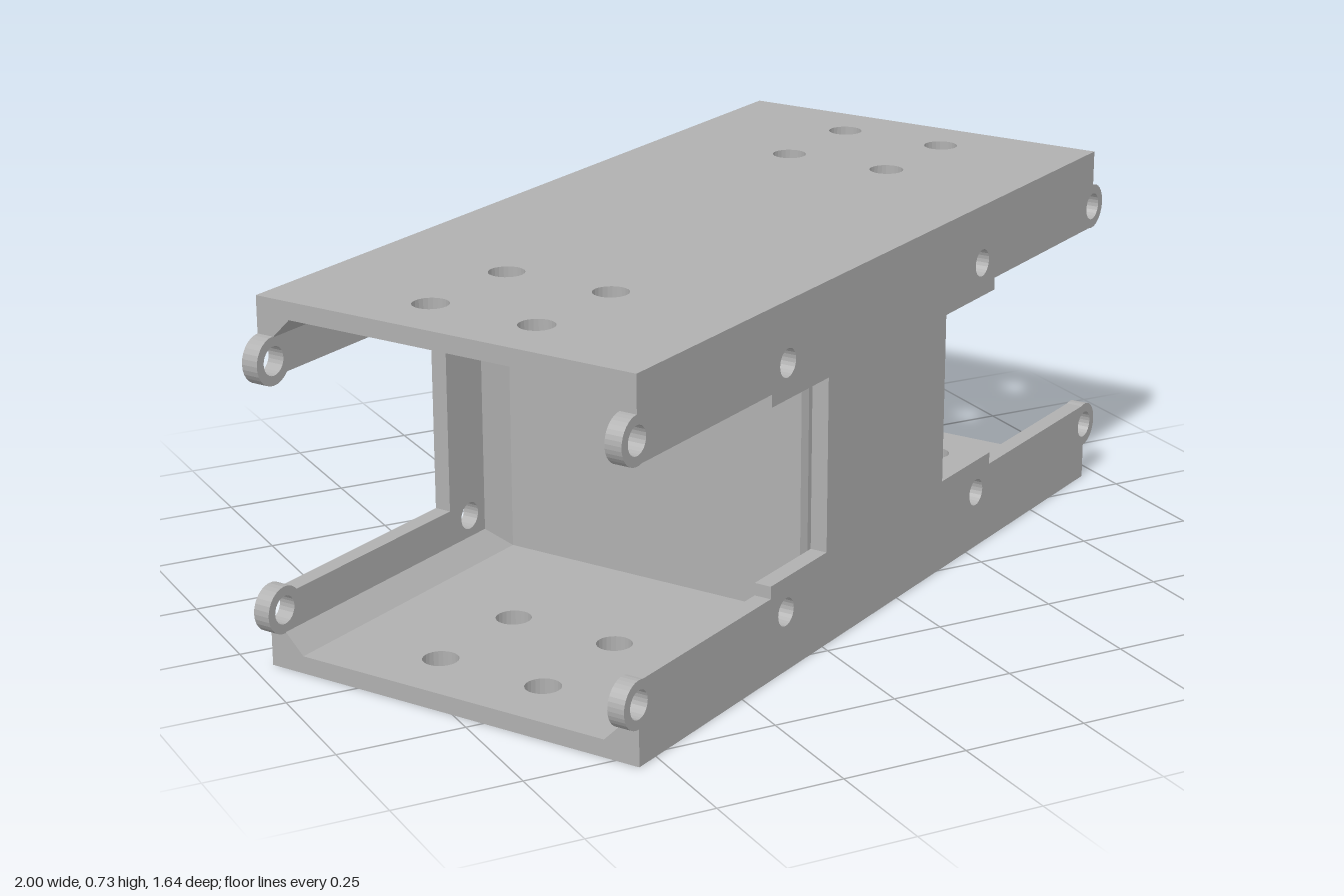
import * as THREE from 'three';

// Main dimensions: half length, half width, height, sheet thickness, inner bevel
const A = 0.87, B = 0.415, H = 0.73, T = 0.035, C = 0.04;
const EYE_Y = 0.245, EYE_R = 0.047, HOLE_R = 0.028; // relative to mid height

export function createModel() {
  const model = new THREE.Group();
  model.name = 'boxBeam';
  const beam = new THREE.Group();
  beam.name = 'beam';
  beam.rotation.y = Math.PI / 6;
  model.add(beam);

  const metal = new THREE.MeshStandardMaterial({ color: 0xb0b0b0 });
  metal.name = 'grey metal';
  const panelMetal = metal;
  panelMetal.side = THREE.DoubleSide;

  const add = (name, geometry, y = 0, z = 0) => {
    const mesh = new THREE.Mesh(geometry, metal);
    mesh.name = name;
    mesh.position.set(0, y, z);
    beam.add(mesh);
    return mesh;
  };
  const polygon = (pts) => new THREE.Shape(pts.map(([x, y]) => new THREE.Vector2(x, y)));
  const extrude = (shape, depth) =>
    new THREE.ExtrudeGeometry(shape, { depth, bevelEnabled: false, curveSegments: 12 });
  const punch = (shape, x, y, r) => {
    const hole = new THREE.Path();
    hole.absarc(x, y, r, 0, Math.PI * 2, true);
    shape.holes.push(hole);
  };

  // Side wall: one quarter outline (with the end eye) mirrored four ways
  function wall(strip, notch, holeX) {
    const quarter = [[A, H / 2]];
    const end = -Math.PI + Math.asin((EYE_Y - strip) / EYE_R);
    for (let i = 0; i <= 18; i++) {
      const a = Math.PI / 2 + (end - Math.PI / 2) * i / 18;
      quarter.push([A + EYE_R * Math.cos(a), EYE_Y + EYE_R * Math.sin(a)]);
    }
    quarter.push(...notch);
    const flip = (pts, sx, sy) => pts.map(([x, y]) => [x * sx, y * sy]);
    const back = [...quarter].reverse();
    const shape = polygon([
      ...quarter, ...flip(back, 1, -1), ...flip(quarter, -1, -1), ...flip(back, -1, 1),
    ]);
    for (const sx of [-1, 1]) for (const sy of [-1, 1]) {
      punch(shape, sx * holeX, sy * EYE_Y, HOLE_R);
      punch(shape, sx * A, sy * EYE_Y, HOLE_R);
    }
    return extrude(shape, T);
  }
  add('frontWall', wall(0.2, [[0.43, 0.2], [0.43, 0.175], [0.228, 0.175]], 0.375), H / 2, B - T);
  add('backWall', wall(0.215, [[0.355, 0.215]], 0.29), H / 2, -B);

  // Top and bottom plates with four bolt holes at each end
  const plate = polygon([[-A, T - B], [A, T - B], [A, B - T], [-A, B - T]]);
  for (const sx of [-1, 1]) for (const sy of [-1, 1]) for (const x of [0.507, 0.74]) {
    punch(plate, sx * x, sy * 0.117, 0.035);
  }
  const plateGeometry = extrude(plate, T).rotateX(-Math.PI / 2);
  add('bottomPlate', plateGeometry);
  add('topPlate', plateGeometry, H - T);

  // Central core closing both cavities, with bevelled vertical corners
  const w = B - T, k = 0.2;
  const core = polygon([
    [k, C - w], [k, w - C], [k + C, w], [-k - C, w],
    [-k, w - C], [-k, C - w], [-k - C, -w], [k + C, -w],
  ]);
  add('core', extrude(core, H - 2 * T).rotateX(-Math.PI / 2), T);

  // Bevel strips where the plates meet the walls
  for (const end of [-1, 1]) for (const sv of [-1, 1]) for (const sy of [-1, 1]) {
    const h = H / 2 - T;
    const strip = polygon([[sv * w, sy * h], [sv * (w - C), sy * h], [sv * w, sy * (h - C)]]);
    const g = extrude(strip, A - k).rotateY(Math.PI / 2).translate(end > 0 ? k : -A, H / 2, 0);
    add('cavityBevel', g);
  }

  // Thin slanted skin across part of one rear opening
  const skin = polygon([[0.355, 0.15], [0.455, 0.15], [0.765, 0.58], [0.355, 0.58]]);
  add('slantedSkin', new THREE.ShapeGeometry(skin).rotateY(Math.PI).scale(-1, 1, 1), 0, -B);

  return model;
}
